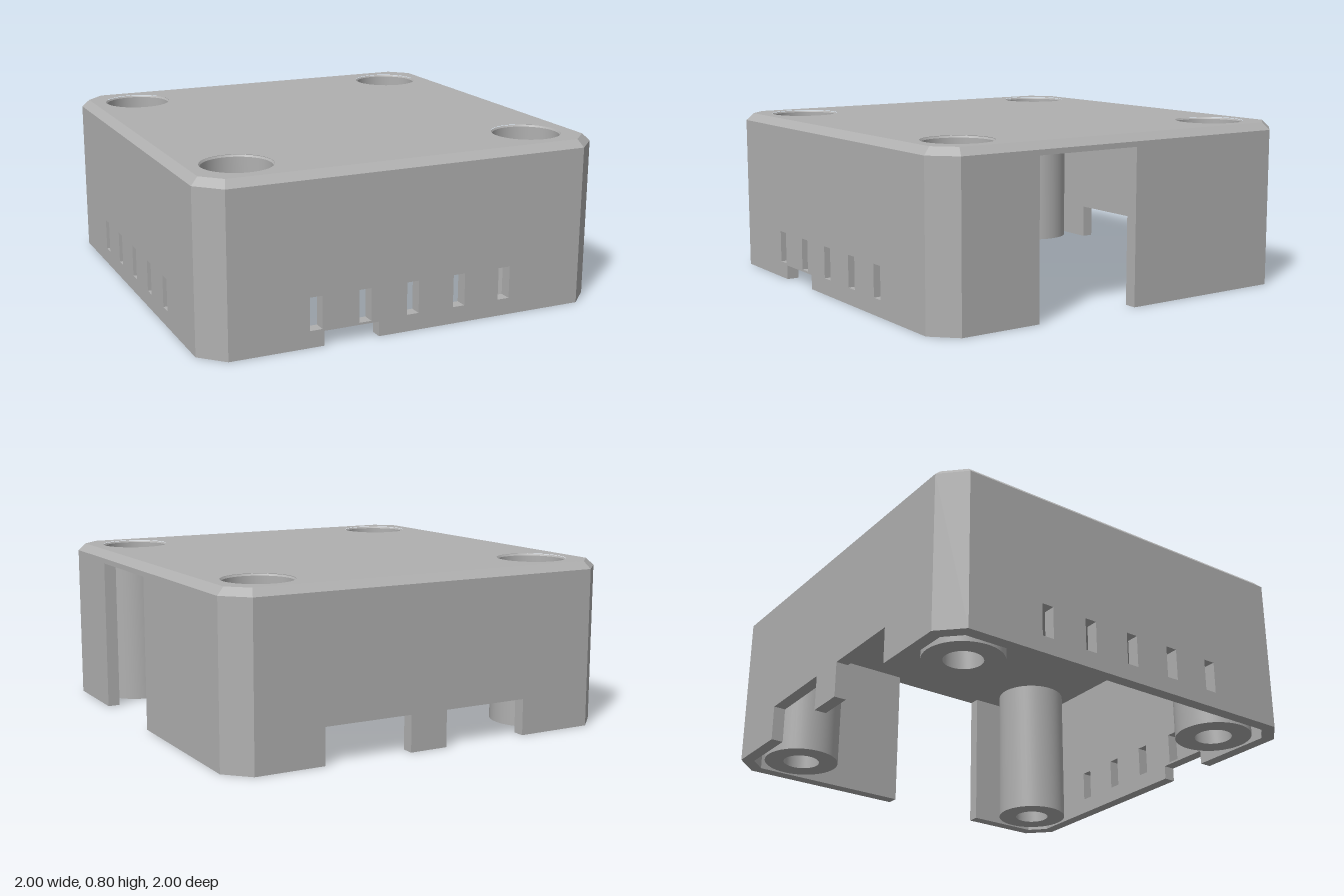
import * as THREE from 'three';
import { toCreasedNormals } from 'three/addons/utils/BufferGeometryUtils.js';

const T = 0.06, WALL_TOP = 0.765, TOP = 0.8, POST = 0.738;

// Octagon with half width h and straight sides ending at c
function octagon(h, c) {
  return [[c, h], [h, c], [h, -c], [c, -h], [-c, -h], [-h, -c], [-h, c], [-c, h]];
}

// Wall outline with notches [from, to, height] in the bottom edge and optional vent slots
function wallGeometry(notches, vents) {
  const s = new THREE.Shape();
  s.moveTo(-0.89, 0);
  for (const [a, b, h] of notches) {
    s.lineTo(a, 0); s.lineTo(a, h); s.lineTo(b, h); s.lineTo(b, 0);
  }
  s.lineTo(0.89, 0); s.lineTo(0.89, WALL_TOP); s.lineTo(-0.89, WALL_TOP);
  s.closePath();
  if (vents) {
    for (let i = -2; i <= 2; i++) {
      const u = i * 0.239, p = new THREE.Path();
      p.moveTo(u - 0.03, 0.08); p.lineTo(u - 0.03, 0.235);
      p.lineTo(u + 0.03, 0.235); p.lineTo(u + 0.03, 0.08);
      p.closePath();
      s.holes.push(p);
    }
  }
  const g = new THREE.ExtrudeGeometry(s, { depth: T, bevelEnabled: false });
  return g.translate(0, 0, 1 - T);
}

export function createModel() {
  const group = new THREE.Group();
  const grey = new THREE.MeshStandardMaterial({ color: 0xb0b0b0 });
  grey.name = 'grey plastic';
  const add = (name, geo) => {
    const m = new THREE.Mesh(geo, grey);
    m.name = name;
    group.add(m);
    return m;
  };

  // Four walls
  const walls = [
    ['frontWall', 0, [[-0.44, -0.17, 0.07]], true],
    ['leftWall', Math.PI / 2, [[-0.49, 0.05, 0.74]], false],
    ['backWall', Math.PI, [[-0.55, -0.11, 0.175], [0.08, 0.51, 0.175]], false],
    ['rightWall', -Math.PI / 2, [], true],
  ];
  for (const [name, turn, notches, vents] of walls) {
    add(name, wallGeometry(notches, vents)).rotation.y = turn;
  }

  // Cut-off corners
  const cornerShape = new THREE.Shape(
    [[0.89, 1], [0.865, 0.94], [0.94, 0.865], [1, 0.89]].map(([x, y]) => new THREE.Vector2(x, y)));
  const corner = new THREE.ExtrudeGeometry(cornerShape, { depth: WALL_TOP, bevelEnabled: false });
  corner.rotateX(-Math.PI / 2);
  for (let i = 0; i < 4; i++) add('cornerWall', corner).rotation.y = i * Math.PI / 2;

  // Top plate with four bore openings
  const plate = new THREE.Shape(octagon(0.965, 0.875).map(([x, y]) => new THREE.Vector2(x, y)));
  const posts = [[1, 1], [1, -1], [-1, -1], [-1, 1]].map(([x, z]) => [x * POST, z * POST]);
  for (const [x, z] of posts) {
    plate.holes.push(new THREE.Path().absarc(x, z, 0.166, 0, Math.PI * 2, true));
  }
  const plateGeo = new THREE.ExtrudeGeometry(plate, { depth: TOP - 0.74, bevelEnabled: false, curveSegments: 48 });
  plateGeo.rotateX(-Math.PI / 2).translate(0, 0.74, 0);
  add('topPlate', plateGeo);

  // Sloped edge between walls and top
  const low = octagon(1, 0.89), high = octagon(0.965, 0.875), pos = [];
  for (let i = 0; i < 8; i++) {
    const j = (i + 1) % 8;
    const a = [low[i][0], WALL_TOP, low[i][1]], b = [low[j][0], WALL_TOP, low[j][1]];
    const c = [high[j][0], TOP, high[j][1]], d = [high[i][0], TOP, high[i][1]];
    pos.push(...a, ...b, ...c, ...a, ...c, ...d);
  }
  const edge = new THREE.BufferGeometry();
  edge.setAttribute('position', new THREE.Float32BufferAttribute(pos, 3));
  edge.computeVertexNormals();
  add('topChamfer', edge);

  // Hollow screw posts with a floor and a through hole
  const profile = [[0.09, 0], [0.185, 0], [0.185, 0.77], [0.166, 0.798], [0.16, 0.79],
    [0.16, 0.1], [0.09, 0.1], [0.09, 0]].map(([r, y]) => new THREE.Vector2(r, y));
  const postGeo = toCreasedNormals(new THREE.LatheGeometry(profile, 48), 0.5);
  for (const [x, z] of posts) add('screwPost', postGeo).position.set(x, 0, z);

  return group;
}
